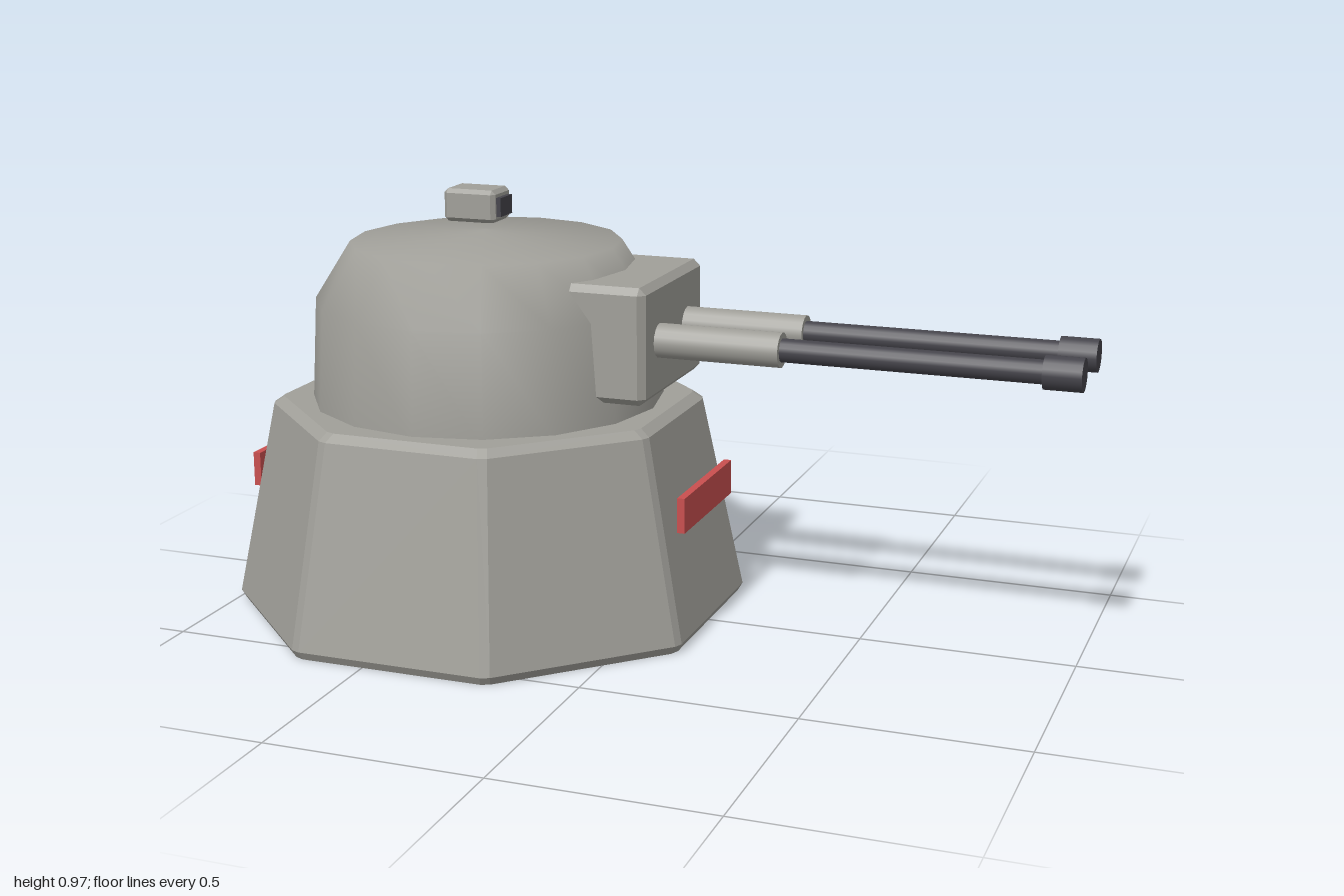
import * as THREE from 'three';
import { ConvexGeometry } from 'three/addons/geometries/ConvexGeometry.js';

const material = (name, color) => {
  const m = new THREE.MeshStandardMaterial({ color });
  m.name = name;
  return m;
};

// Box with 45-degree chamfered edges, given by its size
function chamferBox(w, h, d, c) {
  const pts = [];
  for (const x of [-w / 2, w / 2]) for (const y of [-h / 2, h / 2]) for (const z of [-d / 2, d / 2]) {
    const sx = Math.sign(x) * c, sy = Math.sign(y) * c, sz = Math.sign(z) * c;
    pts.push(
      new THREE.Vector3(x, y - sy, z - sz),
      new THREE.Vector3(x - sx, y, z - sz),
      new THREE.Vector3(x - sx, y - sy, z)
    );
  }
  return new ConvexGeometry(pts);
}

// Tapered octagon with narrow bevels along its corners; rings are [apothem, y]
function bevelledOctagon(rings, bevel) {
  const pts = [];
  for (const [a, y] of rings) {
    const half = a * Math.tan(Math.PI / 8) - bevel;
    for (let i = 0; i < 8; i++) {
      const t = (i * Math.PI) / 4, c = Math.cos(t), s = Math.sin(t);
      for (const e of [-half, half]) pts.push(new THREE.Vector3(a * c - e * s, y, a * s + e * c));
    }
  }
  return new ConvexGeometry(pts);
}

export function createModel() {
  const grey = material('armourGrey', 0xa09f99);
  const dark = material('gunMetal', 0x45444b);
  const red = material('markerRed', 0xc94f4f);
  const model = new THREE.Group();
  model.name = 'gunTurret';
  const cx = -0.43; // axis of the base and dome

  const add = (name, geometry, mat, x, y, z) => {
    const mesh = new THREE.Mesh(geometry, mat);
    mesh.name = name;
    mesh.position.set(x, y, z);
    model.add(mesh);
    return mesh;
  };

  // Base and dome
  add('base', bevelledOctagon([[0.56, 0], [0.571, 0.02], [0.478, 0.49], [0.455, 0.507]], 0.012), grey, cx, 0, 0);
  const profile = [[0.42, 0.49], [0.405, 0.745], [0.32, 0.88], [0, 0.906]].map(p => new THREE.Vector2(...p));
  add('dome', new THREE.LatheGeometry(profile, 16), grey, cx, 0, 0);

  // Gun mount
  add('gunMount', chamferBox(0.28, 0.27, 0.4, 0.016), grey, -0.1, 0.696, 0);

  // Twin guns, each a run of cylinders along x
  const tube = (name, r, x0, x1, z, mat) => {
    const mesh = add(name, new THREE.CylinderGeometry(r, r, x1 - x0, 16), mat, (x0 + x1) / 2, 0.695, z);
    mesh.rotation.z = -Math.PI / 2;
  };
  for (const z of [-0.095, 0.095]) {
    tube('barrelSleeve', 0.04, 0.02, 0.33, z, grey);
    tube('barrel', 0.027, 0.3, 0.93, z, dark);
    tube('muzzle', 0.038, 0.915, 1, z, dark);
  }

  // Sight on the roof
  add('sight', chamferBox(0.135, 0.08, 0.1, 0.01), grey, -0.531, 0.934, -0.17);
  add('sightLens', new THREE.BoxGeometry(0.03, 0.046, 0.068), dark, -0.467, 0.933, -0.168);

  // Marker panels standing off both ends of the base
  for (const side of [-1, 1]) {
    add('markerPanel', new THREE.BoxGeometry(0.018, 0.083, 0.336), red, cx + side * 0.548, 0.307, 0);
  }
  return model;
}
